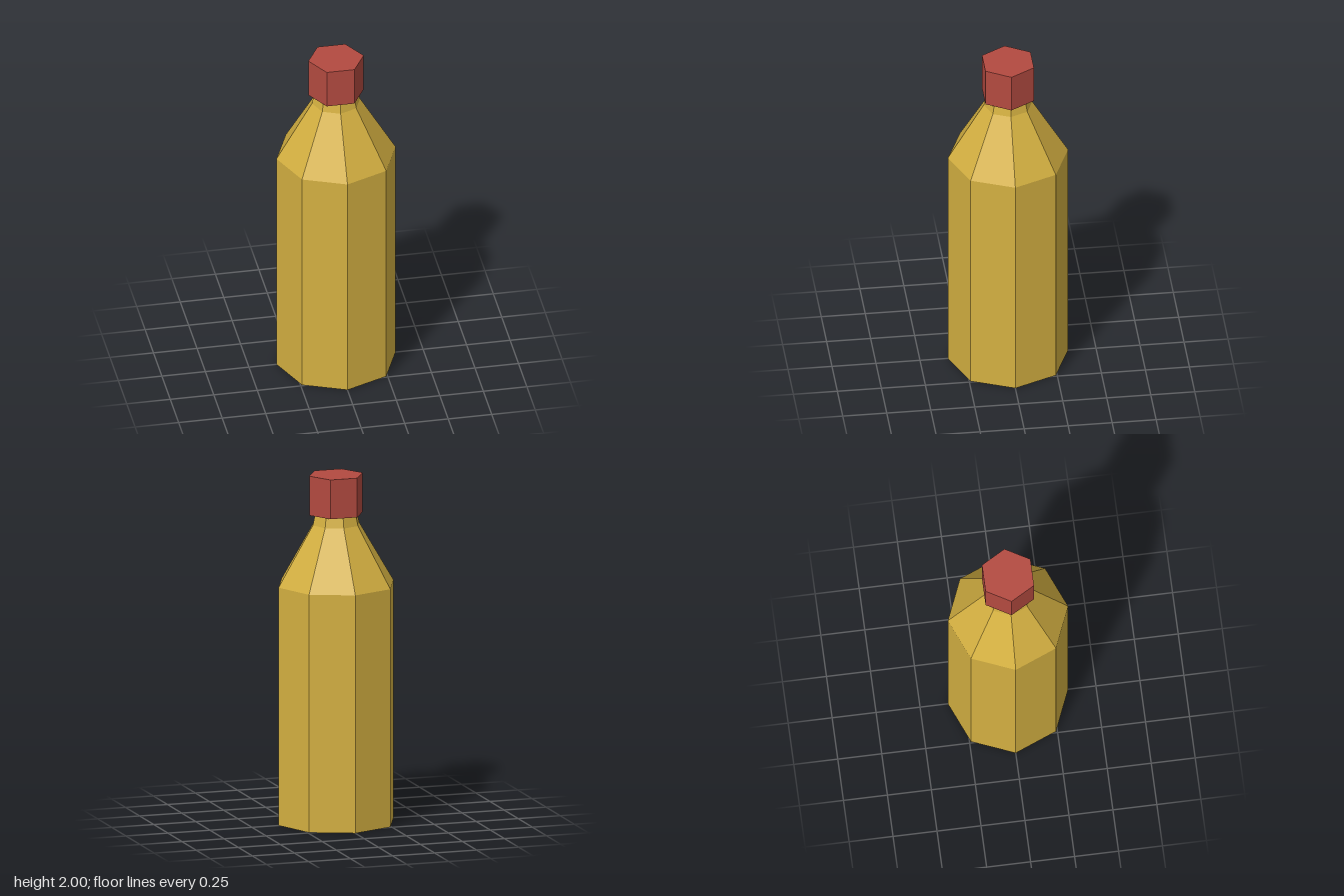
import * as THREE from 'three';

// Faceted look: split the faces so each has its own normal
function faceted(geometry) {
  const flat = geometry.toNonIndexed();
  flat.computeVertexNormals();
  return flat;
}

function addPart(group, name, geometry, material) {
  const mesh = new THREE.Mesh(faceted(geometry), material);
  mesh.name = name;
  group.add(mesh);
  return mesh;
}

export function createModel() {
  const group = new THREE.Group();
  group.name = 'bottle';

  const gold = new THREE.MeshStandardMaterial({ color: 0xd4b041 });
  gold.name = 'mustard gold';
  const red = new THREE.MeshStandardMaterial({ color: 0xb34a40 });
  red.name = 'cap red';

  // Eight-sided bottle: base, straight wall, sloping shoulder, short neck
  const profile = [
    [0, 0], [0.342, 0], [0.342, 1.37], [0.138, 1.715], [0.122, 1.79],
  ].map(([r, y]) => new THREE.Vector2(r, y));
  addPart(group, 'bottleBody', new THREE.LatheGeometry(profile, 8), gold);

  // Six-sided screw cap with corners on the left and right
  const cap = addPart(group, 'cap', new THREE.CylinderGeometry(0.159, 0.159, 0.226, 6), red);
  cap.rotation.y = Math.PI / 6;
  cap.position.y = 1.887;

  return group;
}
